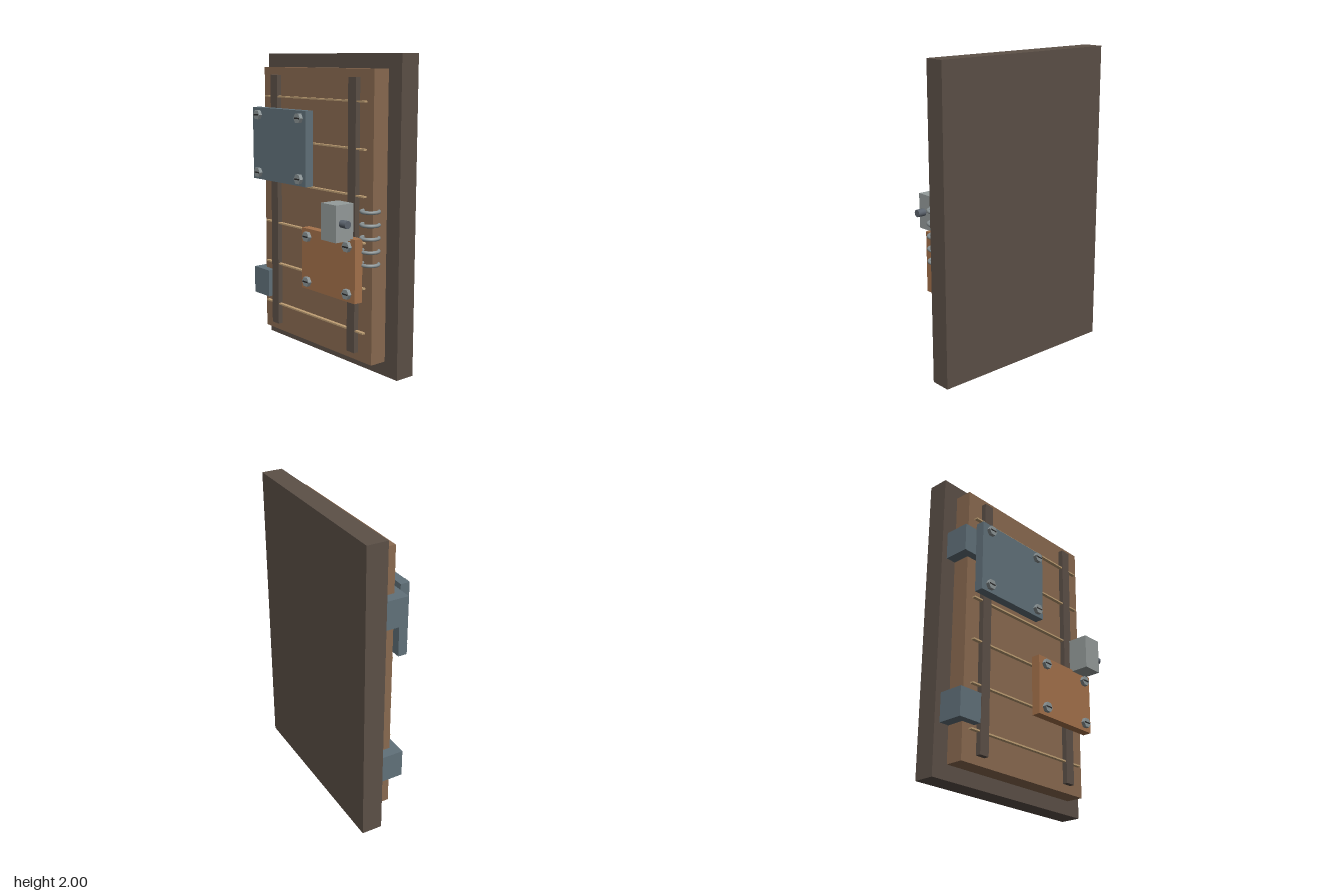
import * as THREE from 'three';

const mat = (name, color) => {
  const m = new THREE.MeshStandardMaterial({ color });
  m.name = name;
  return m;
};

export function createModel() {
  const darkWood = mat('dark wood', 0x5c5047);
  const wood = mat('brown wood', 0x8a6a50);
  const straw = mat('pale inlay', 0xbf9f74);
  const steel = mat('blue steel', 0x61717a);
  const copper = mat('copper', 0xa5724b);
  const iron = mat('light iron', 0x959c9b);
  const boltMetal = mat('bolt metal', 0x8b9496);
  const knobMetal = mat('knob metal', 0x5c646e);
  const black = mat('slot black', 0x2b2b2b);

  const model = new THREE.Group();
  model.name = 'reinforcedDoor';

  const add = (name, geometry, material, x, y, z, parent = model) => {
    const mesh = new THREE.Mesh(geometry, material);
    mesh.name = name;
    mesh.position.set(x, y, z);
    parent.add(mesh);
    return mesh;
  };
  // Box given by its extents on each axis
  const box = (name, material, [x0, x1], [y0, y1], [z0, z1]) =>
    add(name, new THREE.BoxGeometry(x1 - x0, y1 - y0, z1 - z0), material,
      (x0 + x1) / 2, (y0 + y1) / 2, (z0 + z1) / 2);

  // Backing slab and door panel
  box('backing', darkWood, [-0.655, 0.655], [0, 2], [-0.243, -0.106]);
  box('doorPanel', wood, [-0.545, 0.545], [0.095, 1.91], [-0.106, 0.01]);

  // Thin horizontal plank seams
  for (let i = 0; i < 6; i++) {
    const y = 0.293 + i * 0.285;
    box('plankSeam', straw, [-0.5, 0.497], [y - 0.005, y + 0.005], [0.018, 0.042]);
  }

  // Vertical battens
  for (const x of [-0.395, 0.39])
    box('batten', darkWood, [x - 0.035, x + 0.035], [0.15, 1.86], [0.012, 0.046]);

  // Hinge blocks on the right edge
  for (const y of [0.423, 1.517])
    box('hingeBlock', steel, [-0.615, -0.448], [y - 0.093, y + 0.093], [-0.106, 0.062]);

  // Repair plates
  box('steelPlate', steel, [-0.525, 0.042], [1.163, 1.645], [0.064, 0.124]);
  box('copperPlate', copper, [0.003, 0.515], [0.503, 0.9], [0.064, 0.124]);

  // Slotted hexagonal bolts at the plate corners
  const hex = new THREE.CylinderGeometry(0.034, 0.034, 0.025, 6).toNonIndexed();
  hex.rotateY(Math.PI / 6).rotateX(Math.PI / 2);
  hex.computeVertexNormals();
  const slot = new THREE.BoxGeometry(0.05, 0.009, 0.004);
  const bolt = (x, y) => {
    const group = new THREE.Group();
    group.name = 'bolt';
    group.position.set(x, y, 0.136);
    // Points of the hexagon lie left and right
    add('boltHead', hex, boltMetal, 0, 0, 0, group);
    add('boltSlot', slot, black, 0, 0, 0.012, group);
    model.add(group);
  };
  for (const x of [-0.457, -0.018]) for (const y of [1.21, 1.597]) bolt(x, y);
  for (const x of [0.066, 0.452]) for (const y of [0.555, 0.85]) bolt(x, y);

  // Lock box with a side knob
  box('lockBox', iron, [0.338, 0.475], [0.89, 1.117], [0.104, 0.242]);
  add('lockKnob', new THREE.CylinderGeometry(0.024, 0.024, 0.07, 16).rotateZ(Math.PI / 2),
    knobMetal, 0.495, 1.003, 0.195);

  // Wire rings through the left edge
  const ring = new THREE.TorusGeometry(0.055, 0.011, 10, 32).rotateX(Math.PI / 2);
  for (let i = 0; i < 5; i++)
    add('wireRing', ring, boltMetal, 0.517, 0.735 + i * 0.0815, 0.006);

  return model;
}
